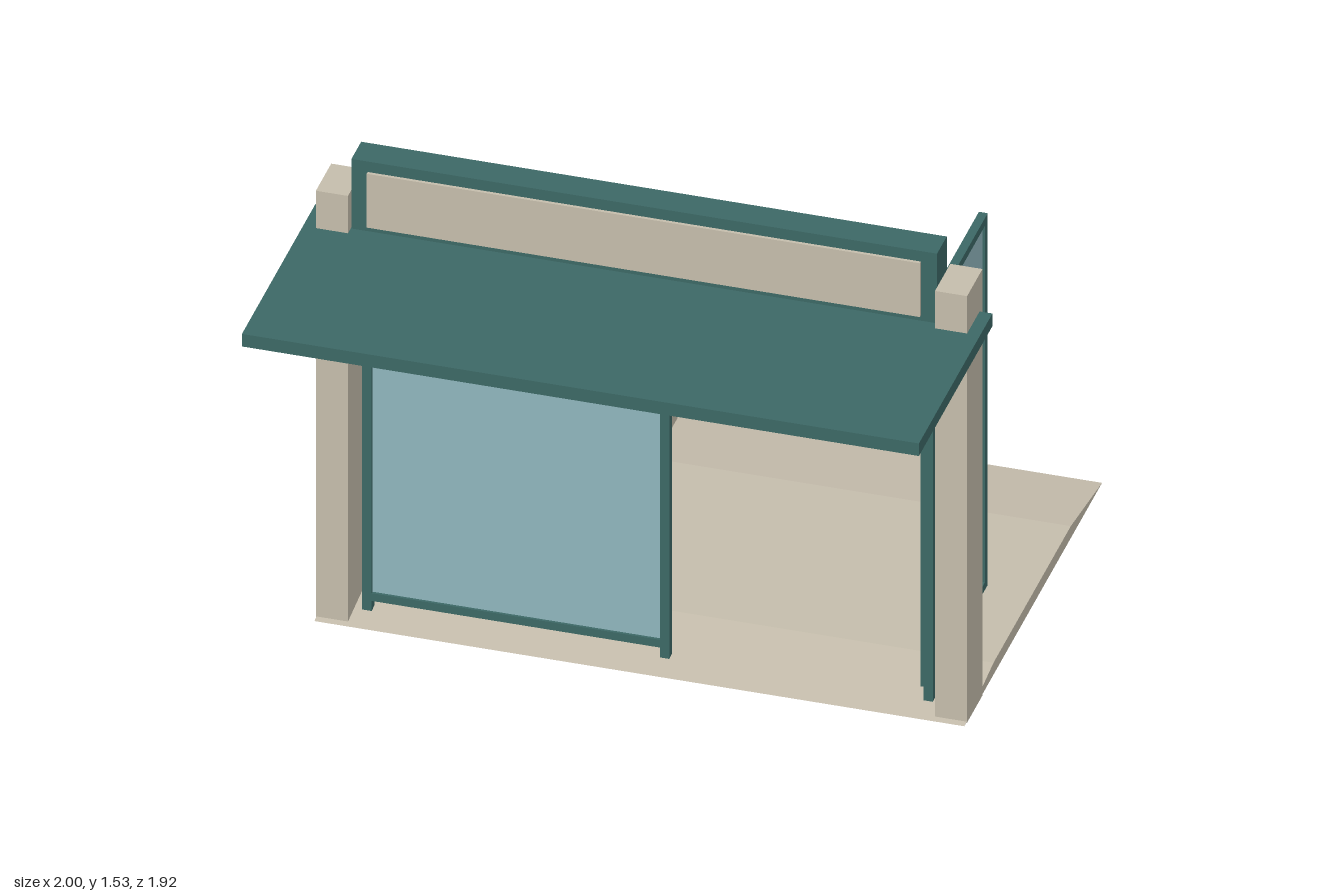
import * as THREE from 'three';

export function createModel() {
  const model = new THREE.Group();
  model.name = 'entranceShelter';

  const mat = (name, color) => {
    const m = new THREE.MeshStandardMaterial({ color });
    m.name = name;
    return m;
  };
  const stone = mat('warm stone', 0xc4bcab);
  const green = mat('dark green metal', 0x3c6865);
  const glass = mat('blue glass', 0x8fb5bc);

  // Box given by its extents on each axis
  const box = (name, material, [x0, x1], [y0, y1], [z0, z1], parent = model) => {
    const mesh = new THREE.Mesh(new THREE.BoxGeometry(x1 - x0, y1 - y0, z1 - z0), material);
    mesh.position.set((x0 + x1) / 2, (y0 + y1) / 2, (z0 + z1) / 2);
    mesh.name = name;
    parent.add(mesh);
    return mesh;
  };

  // Floor slab with ramped front and back, extruded along x
  const profile = new THREE.Shape();
  profile.moveTo(-0.385, 0);
  profile.lineTo(0.96, 0);
  profile.lineTo(0.655, 0.04);
  profile.lineTo(-0.10, 0.04);
  profile.closePath();
  const floorGeo = new THREE.ExtrudeGeometry(profile, { depth: 1.92, bevelEnabled: false });
  floorGeo.translate(0, 0, -0.96);
  floorGeo.rotateY(Math.PI / 2);
  const floor = new THREE.Mesh(floorGeo, stone);
  floor.name = 'rampedFloor';
  model.add(floor);

  // Canopy, header box and its inset sign panel
  box('canopy', green, [-1, 1], [1.26, 1.302], [0.242, 0.96]);
  box('header', green, [-0.865, 0.865], [1.26, 1.535], [0.242, 0.337]);
  box('signPanel', stone, [-0.817, 0.817], [1.32, 1.5], [0.33, 0.347]);

  // Pillars, jambs and canopy struts on both sides
  for (const s of [-1, 1]) {
    const side = s > 0 ? 'left' : 'right';
    const span = (a, b) => (s > 0 ? [a, b] : [-b, -a]);
    box(side + 'Pillar', stone, span(0.867, 0.962), [0, 1.427], [0.214, 0.364]);
    box(side + 'Jamb', green, span(0.815, 0.843), [0.012, 1.27], [0.275, 0.305]);

    const from = new THREE.Vector3(s * 0.869, 1.112, 0.30);
    const to = new THREE.Vector3(s * 0.869, 1.258, 0.82);
    const strut = new THREE.Mesh(
      new THREE.CylinderGeometry(0.008, 0.008, from.distanceTo(to), 8), green);
    strut.position.copy(from).add(to).multiplyScalar(0.5);
    strut.quaternion.setFromUnitVectors(
      new THREE.Vector3(0, 1, 0), to.clone().sub(from).normalize());
    strut.name = side + 'CanopyStrut';
    model.add(strut);
  }

  // Fixed front window
  const front = new THREE.Group();
  front.name = 'fixedWindow';
  model.add(front);
  const depth = [0.276, 0.304];
  box('centreMullion', green, [0.037, 0.064], [0.012, 1.27], depth, front);
  box('bottomRail', green, [-0.82, 0.04], [0.045, 0.071], depth, front);
  box('topRail', green, [-0.82, 0.04], [1.262, 1.288], depth, front);
  box('windowGlass', glass, [-0.82, 0.04], [0.065, 1.27], [0.284, 0.296], front);

  // Door standing open towards the back
  const door = new THREE.Group();
  door.name = 'openDoor';
  model.add(door);
  const thick = [0.802, 0.828];
  box('freeStile', green, thick, [0.046, 1.29], [-0.28, -0.254], door);
  box('hingeStile', green, thick, [0.046, 1.29], [0.262, 0.288], door);
  box('bottomRail', green, thick, [0.046, 0.071], [-0.26, 0.27], door);
  box('topRail', green, thick, [1.264, 1.29], [-0.26, 0.27], door);
  box('doorGlass', glass, [0.809, 0.821], [0.065, 1.27], [-0.26, 0.27], door);
  box('handle', green, [0.773, 0.797], [0.542, 0.712], [-0.232, -0.216], door);

  // Counter with an overhanging top
  box('counterBody', stone, [-0.82, -0.1], [0.038, 0.455], [-0.23, 0.036]);
  box('counterTop', stone, [-0.84, -0.08], [0.455, 0.497], [-0.25, 0.056]);

  return model;
}
